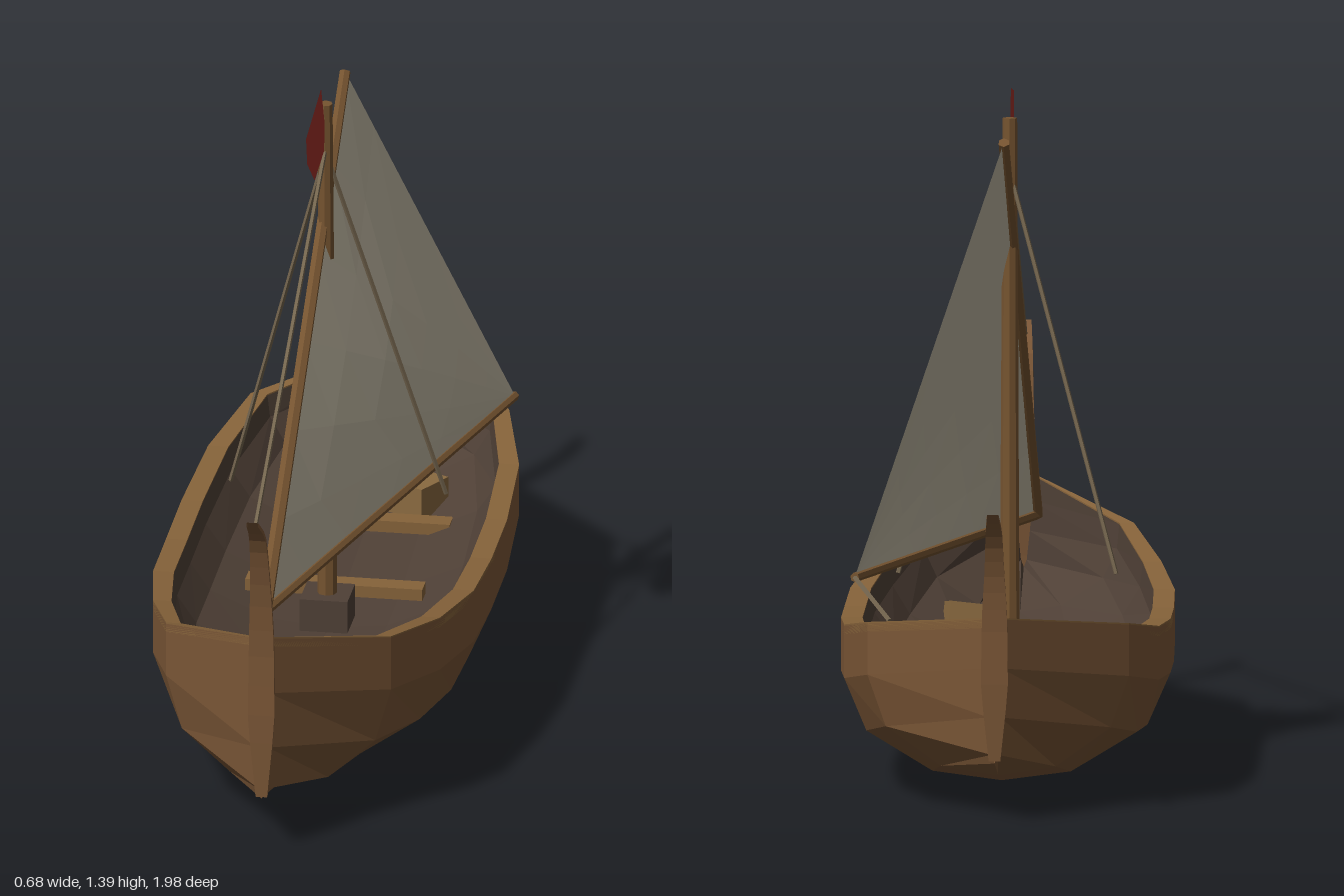
import * as THREE from 'three';

const V = (x, y, z) => new THREE.Vector3(x, y, z);
const mat = (color) => new THREE.MeshStandardMaterial({ color, flatShading: true, side: THREE.DoubleSide });
const WOOD = mat(0x7a5636), DARK = mat(0x4f4036), TRIM = mat(0x86633a), SPAR = mat(0x765430);
const ROPE = mat(0x75664f), CLOTH = mat(0xbdb5a0), RED = mat(0xa03028), CRATE = mat(0x8a6a40);

// Hull stations: z, half width, sheer height, keel height
const STATIONS = [
  [-0.88, 0.015, 0.425, 0.125], [-0.66, 0.27, 0.385, 0.07], [-0.45, 0.325, 0.35, 0.03],
  [-0.2, 0.34, 0.33, 0.01], [0, 0.34, 0.325, 0.005], [0.2, 0.335, 0.335, 0.01],
  [0.42, 0.3, 0.362, 0.03], [0.65, 0.235, 0.41, 0.07], [0.87, 0.015, 0.483, 0.125],
];

function mesh(name, geometry, material) {
  const m = new THREE.Mesh(geometry, material);
  m.name = name;
  return m;
}

// Skin a surface over rows of equally many points
function loft(rows, closed = false) {
  const n = rows[0].length, index = [];
  for (let i = 0; i < rows.length - 1; i++) {
    for (let j = 0; j < (closed ? n : n - 1); j++) {
      const a = i * n + j, b = i * n + ((j + 1) % n);
      index.push(a, b, a + n, b, b + n, a + n);
    }
  }
  const g = new THREE.BufferGeometry().setFromPoints(rows.flat());
  g.setIndex(index);
  g.computeVertexNormals();
  return g;
}

// Hull shell from a half section of [width fraction, height fraction], sheer to keel
function shell(half) {
  const full = [...half, ...half.slice(0, -1).reverse().map(([x, y]) => [-x, y])];
  return loft(STATIONS.map(([z, w, top, keel]) =>
    full.map(([x, y]) => V(x * w, keel + y * (top - keel), z))));
}

// Straight pole between two points
function pole(name, a, b, r1, r2, sides, material) {
  const d = b.clone().sub(a);
  const m = mesh(name, new THREE.CylinderGeometry(r2, r1, d.length(), sides), material);
  m.position.copy(a).lerp(b, 0.5);
  m.quaternion.setFromUnitVectors(V(0, 1, 0), d.normalize());
  return m;
}

// Thin curved post: path points [y, z] with half widths from foot to tip
function post(name, path, widths) {
  const curve = new THREE.CatmullRomCurve3(path.map(([y, z]) => V(0, y, z)));
  const rows = [], n = 14;
  for (let i = 0; i <= n; i++) {
    const t = i / n, p = curve.getPoint(t), d = curve.getTangent(t);
    const f = t * (widths.length - 1), k = Math.min(Math.floor(f), widths.length - 2);
    const w = THREE.MathUtils.lerp(widths[k], widths[k + 1], f - k);
    const ny = -d.z * 0.004, nz = d.y * 0.004;
    rows.push([V(w, p.y + ny, p.z + nz), V(-w, p.y + ny, p.z + nz),
      V(-w, p.y - ny, p.z - nz), V(w, p.y - ny, p.z - nz)]);
  }
  return mesh(name, loft(rows, true), WOOD);
}

function box(name, size, pos, rot, material) {
  const m = mesh(name, new THREE.BoxGeometry(...size), material);
  m.position.set(...pos);
  m.rotation.set(...rot);
  return m;
}

export function createModel() {
  const boat = new THREE.Group();
  boat.name = 'sailingBoat';

  // Hull, inner lining and rail
  boat.add(mesh('hull', shell([[1, 1], [1, 0.66], [0.86, 0.32], [0.44, 0.06], [0, 0]]), WOOD));
  boat.add(mesh('lining', shell([[0.87, 1], [0.85, 0.85], [0.73, 0.67], [0.36, 0.5], [0, 0.46]]), DARK));
  for (const s of [1, -1]) {
    const rows = STATIONS.map(([z, w, y]) => [V(s * w, y + 0.003, z), V(s * w * 0.87, y + 0.003, z),
      V(s * w * 0.87, y - 0.018, z), V(s * w, y - 0.018, z)]);
    boat.add(mesh(s > 0 ? 'leftGunwale' : 'rightGunwale', loft(rows, true), TRIM));
  }

  // Curved posts at both ends
  boat.add(post('stem', [[0.13, 0.87], [0.3, 0.873], [0.48, 0.871], [0.63, 0.89], [0.73, 0.925], [0.785, 0.99]],
    [0.012, 0.028, 0.026, 0.02, 0.017, 0.012]));
  boat.add(post('sternPost', [[0.13, -0.88], [0.28, -0.883], [0.43, -0.881], [0.53, -0.892], [0.61, -0.925], [0.655, -0.99]],
    [0.012, 0.028, 0.026, 0.02, 0.017, 0.012]));

  // Thwarts
  for (const z of [-0.44, 0.33, -0.085]) {
    boat.add(box('thwart', [0.37, 0.025, 0.045], [0, 0.21, z], [0, 0, 0], TRIM));
  }

  // Mast, yard and boom
  const tack = V(-0.035, 0.435, 0.61), peak = V(0.005, 1.32, -0.18), clew = V(0.3, 0.465, -0.55);
  boat.add(box('mastStep', [0.1, 0.07, 0.1], [0, 0.205, 0.02], [0, 0, 0], DARK));
  boat.add(pole('mast', V(0, 0.18, 0.02), V(0, 1.34, 0.045), 0.021, 0.015, 8, SPAR));
  boat.add(pole('yard', tack, peak, 0.015, 0.012, 6, SPAR));
  boat.add(pole('boom', tack, clew, 0.011, 0.01, 6, SPAR));

  // Triangular sail with a slight belly
  const rows = [], n = 6;
  for (let i = 0; i <= n; i++) {
    const low = tack.clone().lerp(clew, i / n), high = peak.clone().lerp(clew, i / n), row = [];
    for (let j = 0; j <= n; j++) {
      const p = low.clone().lerp(high, j / n);
      p.x += 0.025 * Math.sin(Math.PI * i / n) * Math.sin(Math.PI * j / n);
      row.push(p);
    }
    rows.push(row);
  }
  boat.add(mesh('sail', loft(rows), CLOTH));

  // Rigging
  boat.add(pole('forestay', V(0, 1.24, 0.045), V(0, 0.763, 0.955), 0.005, 0.005, 5, ROPE));
  for (const s of [1, -1]) {
    boat.add(pole('shroud', V(0, 1.23, 0.04), V(s * 0.225, 0.415, -0.125), 0.005, 0.005, 5, ROPE));
  }
  boat.add(pole('sheet', clew, V(0.225, 0.39, -0.655), 0.005, 0.005, 5, ROPE));

  // Pennant in the centre plane, outline drawn as (z, y)
  const outline = [[0.05, 1.29], [0.1, 1.395], [0.295, 1.362], [0.28, 1.3], [0.185, 1.225], [0.065, 1.24]];
  const flag = mesh('flag', new THREE.ShapeGeometry(new THREE.Shape(outline.map(([z, y]) => new THREE.Vector2(z, y)))), RED);
  flag.rotation.y = -Math.PI / 2;
  boat.add(flag);

  // Cargo crates
  boat.add(box('bowCrate', [0.095, 0.08, 0.11], [0.1, 0.23, 0.46], [0.15, 0.15, 0.1], CRATE));
  boat.add(box('sternCrate', [0.115, 0.08, 0.115], [-0.09, 0.24, -0.43], [0, 0.3, 0], CRATE));
  boat.add(box('smallCrate', [0.09, 0.07, 0.09], [0.1, 0.24, -0.53], [0, -0.5, 0], CRATE));

  return boat;
}
